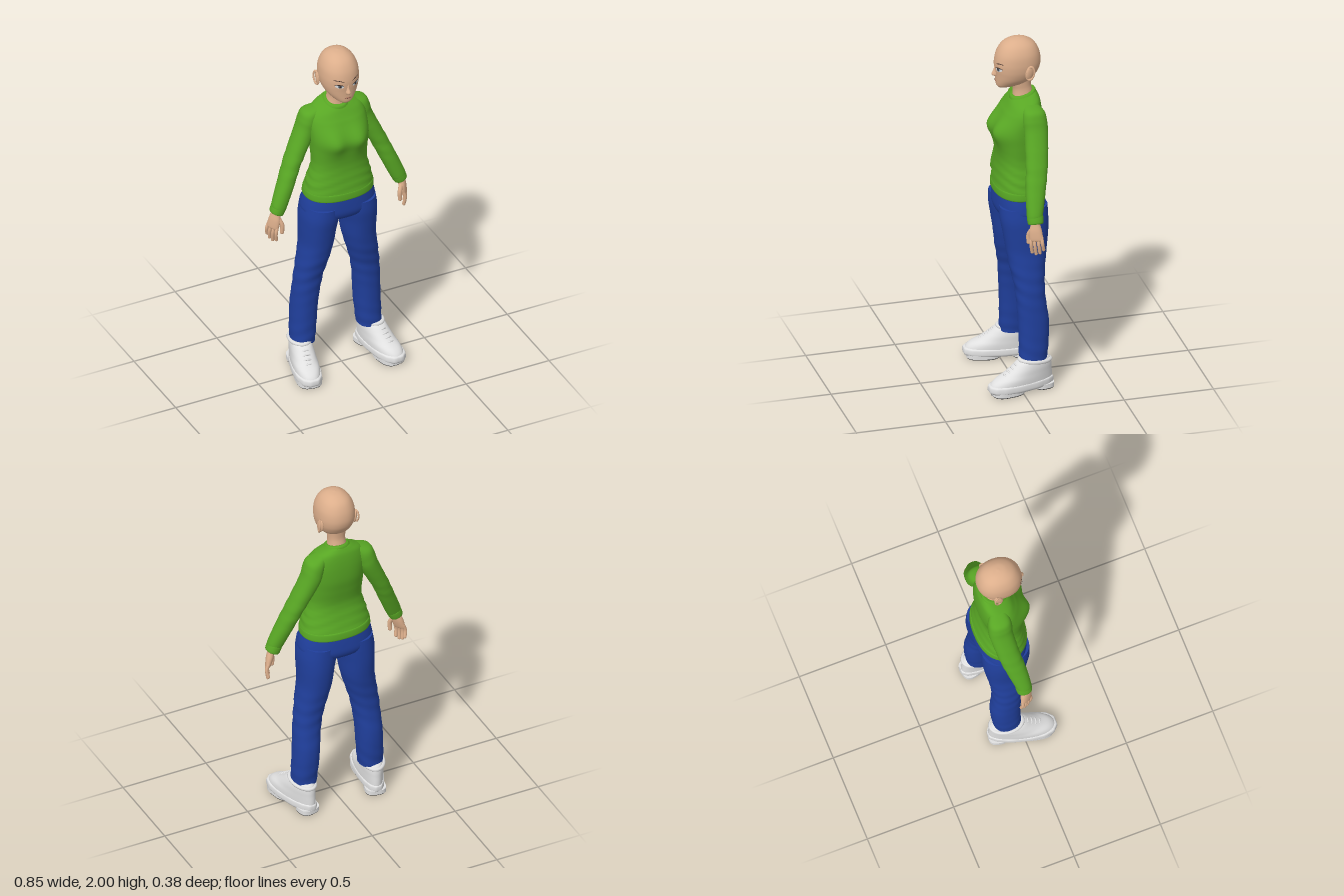
import * as THREE from 'three';

const flat = (name, color) => Object.assign(new THREE.MeshStandardMaterial({ color }), { name });
const skin = flat('skin', 0xdcae8b), green = flat('sweater green', 0x58a624), blue = flat('denim blue', 0x203f9c);
const white = flat('shoe white', 0xe0e0e0), dark = flat('outsole grey', 0x4a4a4a), lash = flat('lash brown', 0x3d2c26);
const iris = flat('iris grey', 0x5c7080), lip = flat('lip', 0xc48a72);

const gauss = (d, s) => Math.exp(-(d * d) / (s * s));

// Smoothly interpolated row at parameter t (0..1) of a table of rows
function rowAt(rows, t) {
  const f = t * (rows.length - 1), i = Math.min(Math.floor(f), rows.length - 2), u = f - i;
  const at = (k) => rows[Math.max(0, Math.min(rows.length - 1, k))];
  const [a, b, c, d] = [at(i - 1), at(i), at(i + 1), at(i + 2)];
  return b.map((_, k) => b[k] + 0.5 * u * (c[k] - a[k] + u * (2 * a[k] - 5 * b[k] + 4 * c[k] - d[k]
    + u * (3 * (b[k] - c[k]) + d[k] - a[k]))));
}

// Closed loft through rows [y, centre x, half width, front z, back z], listed from top to bottom
function loft(name, mat, rows, { p = 2.2, tx = 0, tz = () => 0, fold = () => 0, push = () => 0, taper = 0, seg = 48, sub = 6 } = {}) {
  const pos = [], idx = [], n = (rows.length - 1) * sub;
  const pw = (v) => Math.sign(v) * Math.abs(v) ** (2 / p);
  for (let i = 0; i <= n; i++) {
    const [y, cx, rx, zf, zb] = rowAt(rows, i / n);
    for (let j = 0; j < seg; j++) {
      const a = j / seg * Math.PI * 2, k = 1 + fold(y, a);
      const dz = pw(Math.sin(a)) * (zf - zb) / 2 * k, z = (zf + zb) / 2 + dz;
      const dx = pw(Math.cos(a)) * rx * k * (1 + taper * z);
      pos.push(cx + dx, y + tx * dx - tz(y) * dz, z + (dz > 0 ? push(cx + dx, y) * Math.min(1, dz / 0.03) : 0));
    }
  }
  for (let i = 0; i < n; i++) for (let j = 0; j < seg; j++) {
    const a = i * seg + j, b = i * seg + (j + 1) % seg;
    idx.push(a, b, a + seg, b, b + seg, a + seg);
  }
  // end caps with their own vertices
  for (const [ring, top] of [[0, true], [n, false]]) {
    const s = pos.length / 3, c = [0, 0, 0];
    for (let j = 0; j < seg; j++) for (let k = 0; k < 3; k++) {
      const v = pos[(ring * seg + j) * 3 + k];
      pos.push(v);
      c[k] += v / seg;
    }
    pos.push(...c);
    for (let j = 0; j < seg; j++) {
      const a = s + j, b = s + (j + 1) % seg;
      idx.push(s + seg, top ? b : a, top ? a : b);
    }
  }
  const g = new THREE.BufferGeometry();
  g.setAttribute('position', new THREE.Float32BufferAttribute(pos, 3));
  g.setIndex(idx);
  g.computeVertexNormals();
  return mesh(name, mat, g);
}

function mesh(name, mat, geo) {
  const m = new THREE.Mesh(geo, mat);
  m.name = name;
  return m;
}

// Round rod with ball ends through a few points
function rod(name, mat, pts, r) {
  const g = new THREE.Group(), v = pts.map((q) => new THREE.Vector3(...q));
  g.name = name;
  g.add(mesh(name + 'Body', mat, new THREE.TubeGeometry(new THREE.CatmullRomCurve3(v), 12, r, 10)));
  for (const e of [v[0], v[v.length - 1]]) {
    const s = mesh(name + 'End', mat, new THREE.SphereGeometry(r, 10, 8));
    s.position.copy(e);
    g.add(s);
  }
  return g;
}

// Mirrored copy across x with corner order kept outward
function mirrored(group, name) {
  const out = new THREE.Group(), flip = new THREE.Matrix4().makeScale(-1, 1, 1);
  out.name = name;
  group.updateMatrixWorld(true);
  group.traverse((o) => {
    if (!o.isMesh) return;
    const g = o.geometry.clone().applyMatrix4(flip.clone().multiply(o.matrixWorld)), ix = g.index.array;
    for (let i = 0; i < ix.length; i += 3) [ix[i], ix[i + 1]] = [ix[i + 1], ix[i]];
    out.add(mesh(o.name, o.material, g));
  });
  return out;
}

const HEAD = [[2, 0, 0.004, -0.042, -0.05], [1.992, 0, 0.04, 0, -0.092], [1.965, 0, 0.076, 0.043, -0.135],
  [1.92, 0, 0.099, 0.071, -0.16], [1.87, 0, 0.106, 0.083, -0.169], [1.83, 0, 0.104, 0.083, -0.163], [1.8, 0, 0.097, 0.08, -0.148],
  [1.77, 0, 0.084, 0.078, -0.125], [1.745, 0, 0.064, 0.077, -0.09], [1.728, 0, 0.044, 0.073, -0.04], [1.715, 0, 0.018, 0.06, 0.02]];

// Depth of the face at x, y
function faceZ(x, y) {
  let best = HEAD[0];
  for (let t = 0; t <= 1; t += 0.002) {
    const r = rowAt(HEAD, t);
    if (Math.abs(r[0] - y) < Math.abs(best[0] - y)) best = r;
  }
  const [, , rx, zf, zb] = best;
  return (zf + zb) / 2 + (zf - zb) / 2 * Math.max(0, 1 - Math.abs(x / rx) ** 2.2) ** (1 / 2.2);
}

// Thin painted patch that follows the face; arch bends it upward in the middle
function patch(name, mat, cx, cy, rx, ry, lift, tilt = 0, arch = 0) {
  const g = new THREE.RingGeometry(0.001, 1, 24, 4), q = g.attributes.position;
  for (let i = 0; i < q.count; i++) {
    const u = q.getX(i), x = cx + u * rx, y = cy + q.getY(i) * ry + tilt * u * rx + arch * (1 - u * u);
    q.setXYZ(i, x, y, faceZ(x, y) + lift);
  }
  g.computeVertexNormals();
  return mesh(name, mat, g);
}

function buildEyeAndEar() {
  const g = new THREE.Group();
  g.add(patch('eyeWhite', white, 0.047, 1.839, 0.022, 0.011, 0.002, 0.1),
    patch('iris', iris, 0.046, 1.84, 0.01, 0.0115, 0.003), patch('pupil', lash, 0.046, 1.84, 0.005, 0.006, 0.004),
    patch('upperLash', lash, 0.049, 1.844, 0.026, 0.0025, 0.0045, 0.12, 0.007),
    patch('eyebrow', lash, 0.05, 1.869, 0.026, 0.0022, 0.002, 0.2, 0.006));
  const ear = mesh('ear', skin, new THREE.SphereGeometry(1, 20, 14));
  ear.scale.set(0.01, 0.042, 0.024);
  const rim = mesh('earRim', skin, new THREE.TorusGeometry(0.024, 0.005, 8, 24));
  rim.scale.set(0.9, 1.55, 1);
  for (const [m, x] of [[ear, 0.104], [rim, 0.11]]) {
    m.position.set(x, 1.825, -0.085);
    m.rotation.set(-0.2, m === rim ? Math.PI / 2 - 0.3 : 0.3, 0);
    g.add(m);
  }
  return g;
}

function buildArm() {
  const g = new THREE.Group();
  g.add(loft('sleeve', green, [[1.635, 0.1, 0.02, -0.05, -0.13], [1.605, 0.138, 0.046, -0.035, -0.155], [1.56, 0.156, 0.051, -0.03, -0.163],
    [1.495, 0.178, 0.049, -0.033, -0.163], [1.335, 0.256, 0.042, -0.02, -0.14], [1.22, 0.305, 0.041, -0.005, -0.115],
    [1.1, 0.355, 0.039, 0.003, -0.085], [1.08, 0.362, 0.033, 0, -0.08]],
  { tx: 0.4, fold: (y, a) => 0.03 * Math.sin(y * 85 + 2 * Math.cos(a)) * gauss(y - 1.33, 0.1) }),
  loft('cuff', green, [[1.098, 0.356, 0.034, 0, -0.082], [1.09, 0.359, 0.037, 0.003, -0.085], [1.06, 0.371, 0.036, 0.002, -0.083], [1.052, 0.374, 0.031, -0.003, -0.077]], { tx: 0.4 }));
  const hand = new THREE.Group(), turn = new THREE.Group();
  turn.add(loft('palm', skin, [[0.04, 0, 0.022, 0.026, -0.026], [0, 0, 0.02, 0.026, -0.026], [-0.04, 0, 0.021, 0.037, -0.034],
    [-0.085, 0, 0.016, 0.037, -0.038], [-0.097, 0, 0.009, 0.03, -0.032]], { seg: 24 }));
  [-0.03, -0.011, 0.009, 0.028].forEach((z, i) => {
    const len = [0.055, 0.072, 0.077, 0.068][i];
    turn.add(rod('finger', skin, [[0, -0.075, z], [0.002, -0.09 - len * 0.35, z * 1.1], [-0.014, -0.09 - len, z * 1.1]], 0.0095));
  });
  turn.add(rod('thumb', skin, [[-0.003, -0.025, 0.02], [-0.016, -0.06, 0.045], [-0.024, -0.105, 0.05]], 0.012));
  turn.rotation.y = -0.5;
  hand.add(turn);
  hand.position.set(0.377, 1.055, -0.038);
  hand.rotation.z = 0.22;
  g.add(hand);
  return g;
}

function buildLeg() {
  const g = new THREE.Group();
  g.add(loft('trouserLeg', blue, [[1.05, 0.106, 0.1, 0.085, -0.178], [0.98, 0.113, 0.104, 0.084, -0.18], [0.9, 0.121, 0.097, 0.071, -0.178],
    [0.8, 0.127, 0.09, 0.055, -0.168], [0.7, 0.146, 0.085, 0.04, -0.154], [0.6, 0.167, 0.078, 0.02, -0.146], [0.5, 0.18, 0.074, 0.011, -0.15],
    [0.4, 0.188, 0.072, 0.005, -0.163], [0.3, 0.193, 0.071, 0.002, -0.162], [0.2, 0.199, 0.068, 0.001, -0.153], [0.165, 0.198, 0.065, 0, -0.15]],
  { fold: (y, a) => 0.022 * Math.sin(y * 75 + 2.5 * Math.cos(a + 0.6)) * (gauss(y - 0.6, 0.13) + gauss(y - 0.2, 0.09)) }));
  const shoe = new THREE.Group();
  shoe.add(loft('shoeUpper', white, [[0.185, 0, 0.05, -0.015, -0.155], [0.17, 0, 0.058, 0.022, -0.172], [0.14, 0, 0.064, 0.06, -0.178],
    [0.11, 0, 0.066, 0.105, -0.18], [0.085, 0, 0.068, 0.155, -0.182], [0.06, 0, 0.068, 0.18, -0.183], [0.035, 0, 0.066, 0.183, -0.182]], { taper: 0.9 }),
  loft('midsole', white, [[0.062, 0, 0.066, 0.178, -0.18], [0.055, 0, 0.072, 0.19, -0.188], [0.03, 0, 0.073, 0.192, -0.188], [0.018, 0, 0.066, 0.182, -0.182]],
    { taper: 0.9, p: 2.4, fold: (y, a) => 0.012 * Math.sin(a * 14) }));
  // heel and forefoot treads with a gap at the arch
  for (const [zf, zb, rx] of [[0.175, -0.01, 0.07], [-0.075, -0.186, 0.058]]) {
    shoe.add(loft('tread', white, [[0.03, 0, rx, zf, zb], [0.005, 0, rx, zf, zb]], { p: 2.8, sub: 1 }),
      loft('outsole', dark, [[0.006, 0, rx, zf, zb], [0, 0, rx * 0.97, zf - 0.003, zb + 0.003]], { p: 2.8, sub: 1 }));
  }
  shoe.add(loft('archUnderside', dark, [[0.022, 0, 0.058, 0.16, -0.17], [0.015, 0, 0.056, 0.155, -0.165]], { taper: 0.9, sub: 1 }));
  // laces across the instep
  for (let i = 0; i < 4; i++) {
    const z = 0.035 + i * 0.022, y = 0.158 - i * 0.016;
    shoe.add(rod('lace', white, [[-0.036, y - 0.014, z - 0.01], [0, y + 0.003, z], [0.036, y - 0.014, z - 0.01]], 0.005));
  }
  const collar = mesh('shoeCollar', white, new THREE.TorusGeometry(0.056, 0.011, 8, 32));
  collar.rotation.x = Math.PI / 2 - 0.1;
  collar.scale.y = 1.5;
  collar.position.set(0, 0.17, -0.083);
  shoe.add(collar);
  shoe.position.x = 0.228;
  shoe.rotation.y = 0.19;
  g.add(shoe);
  return g;
}

export function createModel() {
  const model = new THREE.Group();
  model.name = 'standingFigure';
  // head and neck
  model.add(loft('head', skin, HEAD),
    loft('nose', skin, [[1.85, 0, 0.004, 0.084, 0.06], [1.82, 0, 0.008, 0.091, 0.06], [1.797, 0, 0.014, 0.101, 0.06], [1.786, 0, 0.012, 0.09, 0.06], [1.782, 0, 0.004, 0.08, 0.06]], { seg: 20 }),
    patch('lips', lip, 0, 1.757, 0.02, 0.006, 0.003), patch('mouthLine', lash, 0, 1.758, 0.02, 0.001, 0.005),
    loft('neck', skin, [[1.79, 0, 0.055, 0, -0.125], [1.73, 0, 0.048, -0.012, -0.117], [1.69, 0, 0.048, -0.02, -0.122], [1.62, 0, 0.06, -0.015, -0.135]]));
  // sweater body, collar and hem
  const slope = (y) => 0.28 * Math.max(0, Math.min(1, (y - 1.58) / 0.08));
  model.add(loft('sweaterBody', green, [[1.667, 0, 0.06, -0.006, -0.137], [1.652, 0, 0.098, 0.005, -0.148], [1.625, 0, 0.142, 0.018, -0.16],
    [1.57, 0, 0.165, 0.042, -0.168], [1.48, 0, 0.166, 0.083, -0.167], [1.4, 0, 0.161, 0.08, -0.153], [1.3, 0, 0.158, 0.073, -0.138],
    [1.2, 0, 0.183, 0.083, -0.16], [1.13, 0, 0.197, 0.093, -0.183], [1.105, 0, 0.193, 0.09, -0.18]],
  { seg: 72, tz: slope, p: 2.3, push: (x, y) => 0.032 * gauss(y - 1.475, 0.075) * (gauss(x - 0.075, 0.06) + gauss(x + 0.075, 0.06)),
    fold: (y, a) => 0.014 * Math.sin(y * 120 + 3 * Math.cos(a * 2 + 0.5)) * gauss(y - 1.22, 0.08) }),
  loft('collarBand', green, [[1.675, 0, 0.056, -0.012, -0.132], [1.672, 0, 0.062, -0.004, -0.139], [1.66, 0, 0.07, 0, -0.144], [1.65, 0, 0.068, -0.002, -0.142]], { tz: () => 0.28 }),
  loft('hemBand', green, [[1.15, 0, 0.19, 0.086, -0.174], [1.143, 0, 0.197, 0.093, -0.182], [1.11, 0, 0.2, 0.095, -0.186], [1.102, 0, 0.194, 0.09, -0.18]], { p: 2.3 }));
  // trouser seat
  model.add(loft('trouserSeat', blue, [[1.13, 0, 0.188, 0.082, -0.172], [1.06, 0, 0.207, 0.087, -0.182], [1.01, 0, 0.208, 0.086, -0.184],
    [0.975, 0, 0.16, 0.068, -0.165], [0.955, 0, 0.07, 0.03, -0.12]], { p: 2.4 }));
  // paired parts
  for (const [part, build] of [['FaceSide', buildEyeAndEar], ['Arm', buildArm], ['Leg', buildLeg]]) {
    const left = build();
    left.name = 'left' + part;
    model.add(left, mirrored(left, 'right' + part));
  }
  return model;
}
